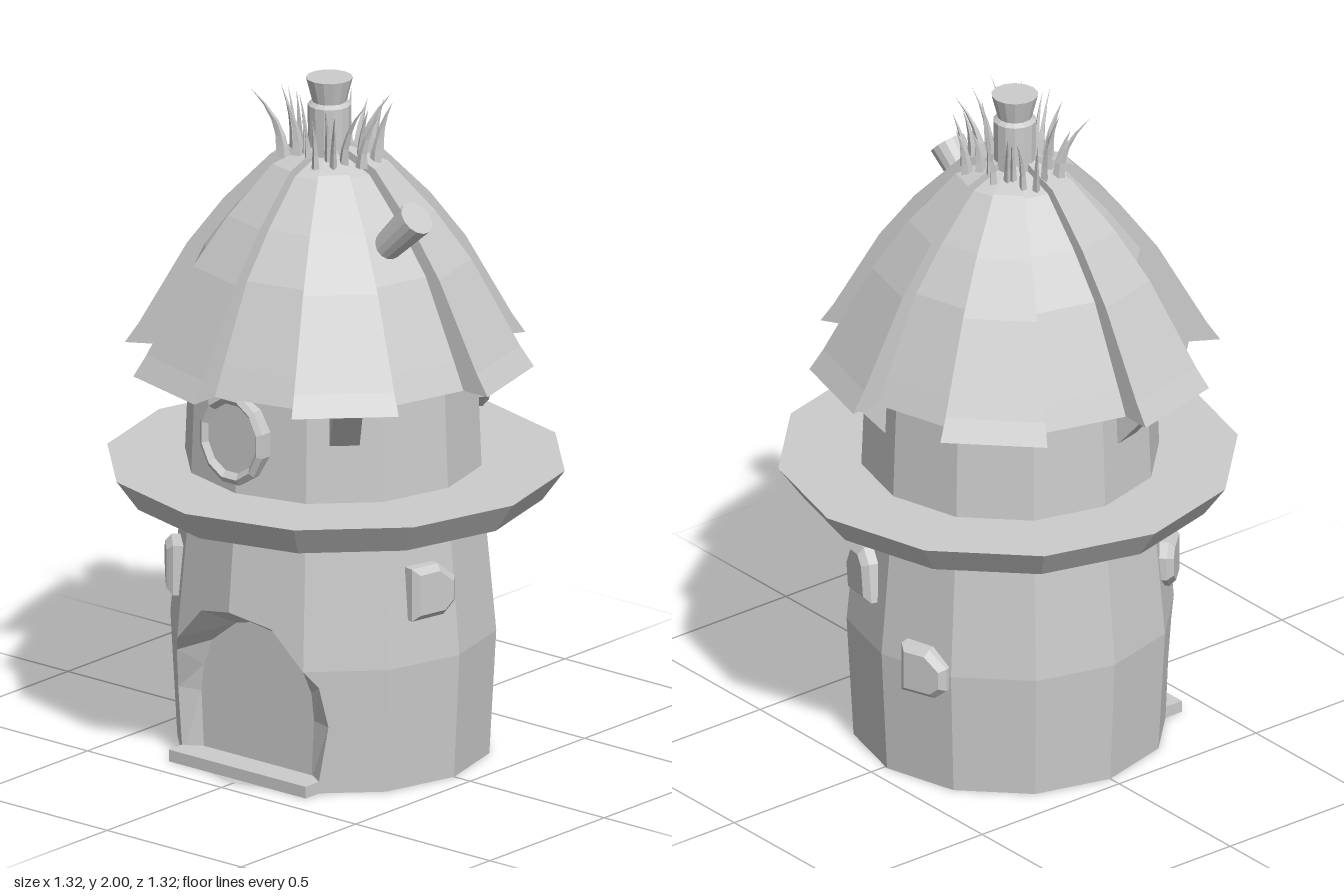
import * as THREE from 'three';

const mat = new THREE.MeshStandardMaterial({ color: 0xcccccc, flatShading: true, side: THREE.DoubleSide });
const rad = THREE.MathUtils.degToRad;
const vecs = (list) => list.map(([x, y]) => new THREE.Vector2(x, y));

function add(parent, name, geometry, x = 0, y = 0, z = 0) {
  const mesh = new THREE.Mesh(geometry, mat);
  mesh.name = name;
  mesh.position.set(x, y, z);
  parent.add(mesh);
  return mesh;
}

// Lathe sector; angles in degrees, measured from +z towards +x
const lathe = (pts, sides = 12, start = 0, sweep = 360) =>
  new THREE.LatheGeometry(vecs(pts), sides, rad(start), rad(sweep));

// Radius of the twelve-sided wall, and its front surface
const wall = [[0.45, 0], [0.47, 0.37], [0.43, 0.8], [0.415, 1.18]];
function radiusAt(y) {
  for (let i = 1; i < wall.length; i++) {
    const [r0, y0] = wall[i - 1], [r1, y1] = wall[i];
    if (y <= y1) return r0 + (r1 - r0) * (y - y0) / (y1 - y0);
  }
  return wall[wall.length - 1][0];
}
function wallZ(x, y) {
  const r = radiusAt(y), a = Math.abs(x);
  return a <= r / 2 ? r - 0.268 * a : 0.866 * r - (a - r / 2);
}

// Flat outline pushed onto the front wall
function wallPatch(pts) {
  const g = new THREE.ShapeGeometry(new THREE.Shape(vecs(pts)));
  const p = g.attributes.position;
  for (let i = 0; i < p.count; i++) p.setZ(i, wallZ(p.getX(i), p.getY(i)));
  return g;
}

function buildBody(root) {
  const body = new THREE.Group();
  body.name = 'body';
  body.position.x = -0.01;
  root.add(body);
  add(body, 'upperWall', lathe(wall.slice(2)));
  add(body, 'lowerWall', lathe(wall.slice(0, 3), 8, 60, 240));
  add(body, 'floor', lathe([[0, 0], [0.45, 0]], 12));

  // Front wall around the doorway
  const c30 = (y) => [radiusAt(y) / 2, y], c60 = (y) => [radiusAt(y) * 0.866, y];
  const outer = [[0.25, 0], [0.28, 0.2], [0.265, 0.32], c30(0.37), [0.13, 0.48], [0, 0.51]];
  const inner = [[0.2, 0.02], [0.21, 0.2], [0.2, 0.28], [0.17, 0.36], [0.08, 0.43], [0, 0.45]];
  const pieces = [
    [[0, 0.8], c30(0.8), c30(0.37), outer[4], outer[5]],
    [c30(0.8), c60(0.8), c60(0.37), c30(0.37)],
    [c30(0.37), c60(0.37), c60(0), outer[0], outer[1], outer[2]],
  ];
  for (const s of [1, -1])
    for (const piece of pieces)
      add(body, 'frontWall', wallPatch(piece.map(([x, y]) => [s * x, y])));

  // Chamfered door surround running from the wall back to the door
  const mirror = (half) => [...half, ...half.slice(0, -1).reverse().map(([x, y]) => [-x, y])];
  const out = mirror(outer), inn = mirror(inner), doorZ = 0.33;
  const pos = [], index = [];
  out.forEach(([x, y], i) => {
    pos.push(x, y, wallZ(x, y), inn[i][0], inn[i][1], doorZ);
    const a = i * 2;
    if (i) index.push(a - 2, a, a - 1, a - 1, a, a + 1);
  });
  const surround = new THREE.BufferGeometry();
  surround.setAttribute('position', new THREE.Float32BufferAttribute(pos, 3));
  surround.setIndex(index);
  surround.computeVertexNormals();
  add(body, 'doorSurround', surround);
  add(body, 'door', new THREE.ShapeGeometry(new THREE.Shape(vecs(inn))), 0, 0, doorZ);
  add(body, 'doorSill', new THREE.BoxGeometry(0.51, 0.035, 0.1), 0, 0.0175, 0.37);
}

function buildWindow(root) {
  const frame = lathe([[0.12, 0], [0.12, 0.075], [0.105, 0.085], [0.09, 0.07], [0, 0.07]], 12, 15);
  frame.rotateX(Math.PI / 2);
  frame.scale(1, 1.15, 1);
  add(root, 'roundWindow', frame, -0.025, 1.02, 0.355);
}

// Slanted struts under the roof and under the ledge
function buildStruts(root) {
  const profile = new THREE.Shape(vecs([[0.38, 0], [0.41, 0], [0.54, 0.15], [0.44, 0.15], [0.38, 0.08]]));
  const g = new THREE.ExtrudeGeometry(profile, { depth: 0.085, bevelEnabled: false });
  g.translate(0, 0, -0.0425);
  for (let i = 0; i < 3; i++) {
    add(root, 'roofStrut', g, -0.01, 1.03, 0).rotation.y = rad(45 + 120 * i - 90);
    add(root, 'ledgeStrut', g, -0.01, 0.685, 0).rotation.y = rad(-15 + 120 * i - 90);
  }
}

// Roof of twelve panels, alternately low and raised
function buildRoof(root) {
  const roof = new THREE.Group();
  roof.name = 'roof';
  roof.position.set(-0.012, 0, 0.015);
  root.add(roof);
  const low = [[0.5, 1.17], [0.465, 1.25], [0.36, 1.48], [0.265, 1.61], [0.15, 1.74], [0, 1.8]];
  const raised = [[0.59, 1.17], [0.55, 1.23], [0.41, 1.48], [0.305, 1.62], [0.17, 1.76], [0, 1.82]];
  const side = new THREE.ShapeGeometry(new THREE.Shape(vecs([...raised, [0, 1.17]])));
  for (let k = 0; k < 12; k++) {
    const isRaised = k % 2 === 1;
    const pts = [[0.36, 1.17], ...(isRaised ? raised : low)];
    add(roof, isRaised ? 'raisedRoofPanel' : 'lowRoofPanel', lathe(pts, 1, k * 30, 30));
    add(roof, 'roofPanelSide', side).rotation.y = rad(k * 30 - 90);
  }

  // Stalk on the peak
  add(roof, 'stalk', lathe([[0.06, 1.76], [0.062, 1.92], [0.049, 1.93], [0.067, 2], [0, 2]], 14));

  // Straw tuft: bent, flattened cones around the stalk
  let seed = 7;
  const rnd = () => (seed = (seed * 16807) % 2147483647) / 2147483647;
  const count = 24;
  for (let i = 0; i < count; i++) {
    const h = 0.12 + rnd() * 0.08, bend = 1 + rnd() * 1.6;
    const blade = new THREE.ConeGeometry(0.019, h, 4, 4);
    blade.translate(0, h / 2, 0);
    blade.scale(1, 1, 0.6);
    const p = blade.attributes.position;
    for (let j = 0; j < p.count; j++) p.setX(j, p.getX(j) + bend * p.getY(j) ** 2);
    const a = (i + rnd() * 0.7) / count * Math.PI * 2, r = 0.085 + rnd() * 0.06;
    const y = 1.79 - (r - 0.085) * 0.5;
    add(roof, 'strawBlade', blade, r * Math.sin(a), y, r * Math.cos(a)).rotation.y = a - Math.PI / 2 + (rnd() - 0.5);
  }
}

function buildChimney(root) {
  const from = new THREE.Vector3(0.24, 1.55, 0.08), to = new THREE.Vector3(0.365, 1.675, 0.075);
  const axis = to.clone().sub(from);
  const mid = from.clone().add(to).multiplyScalar(0.5);
  const pipe = add(root, 'chimney', new THREE.CylinderGeometry(0.053, 0.04, axis.length(), 14), mid.x, mid.y, mid.z);
  pipe.quaternion.setFromUnitVectors(new THREE.Vector3(0, 1, 0), axis.normalize());
}

// Chipped stones set in the wall: angle, height, roll, size
function buildStones(root) {
  const outline = new THREE.Shape(vecs([[-0.06, -0.06], [0.03, -0.06], [0.06, -0.035], [0.06, 0.02], [0.01, 0.06], [-0.06, 0.06]]));
  const g = new THREE.ExtrudeGeometry(outline, { depth: 0.06, bevelThickness: 0.018, bevelSize: 0.018, bevelSegments: 1 });
  const stones = [[-47, 0.55, 180, 0.95], [79, 0.58, 0, 1], [162, 0.57, 100, 1], [200, 0.37, 0, 0.95], [135, 1.08, 180, 0.95]];
  for (const [angle, y, roll, size] of stones) {
    const a = rad(angle), r = radiusAt(y) - 0.055;
    const stone = add(root, 'wallStone', g, r * Math.sin(a) - 0.01, y, r * Math.cos(a));
    stone.rotation.set(0, a, rad(roll));
    stone.scale.set(size, size, 1);
  }
}

export function createModel() {
  const root = new THREE.Group();
  root.name = 'roundHut';
  buildBody(root);
  add(root, 'ledge', lathe([[0.38, 0.77], [0.595, 0.77], [0.66, 0.86], [0.38, 0.86]]));
  buildWindow(root);
  buildStruts(root);
  buildRoof(root);
  buildChimney(root);
  buildStones(root);
  return root;
}
